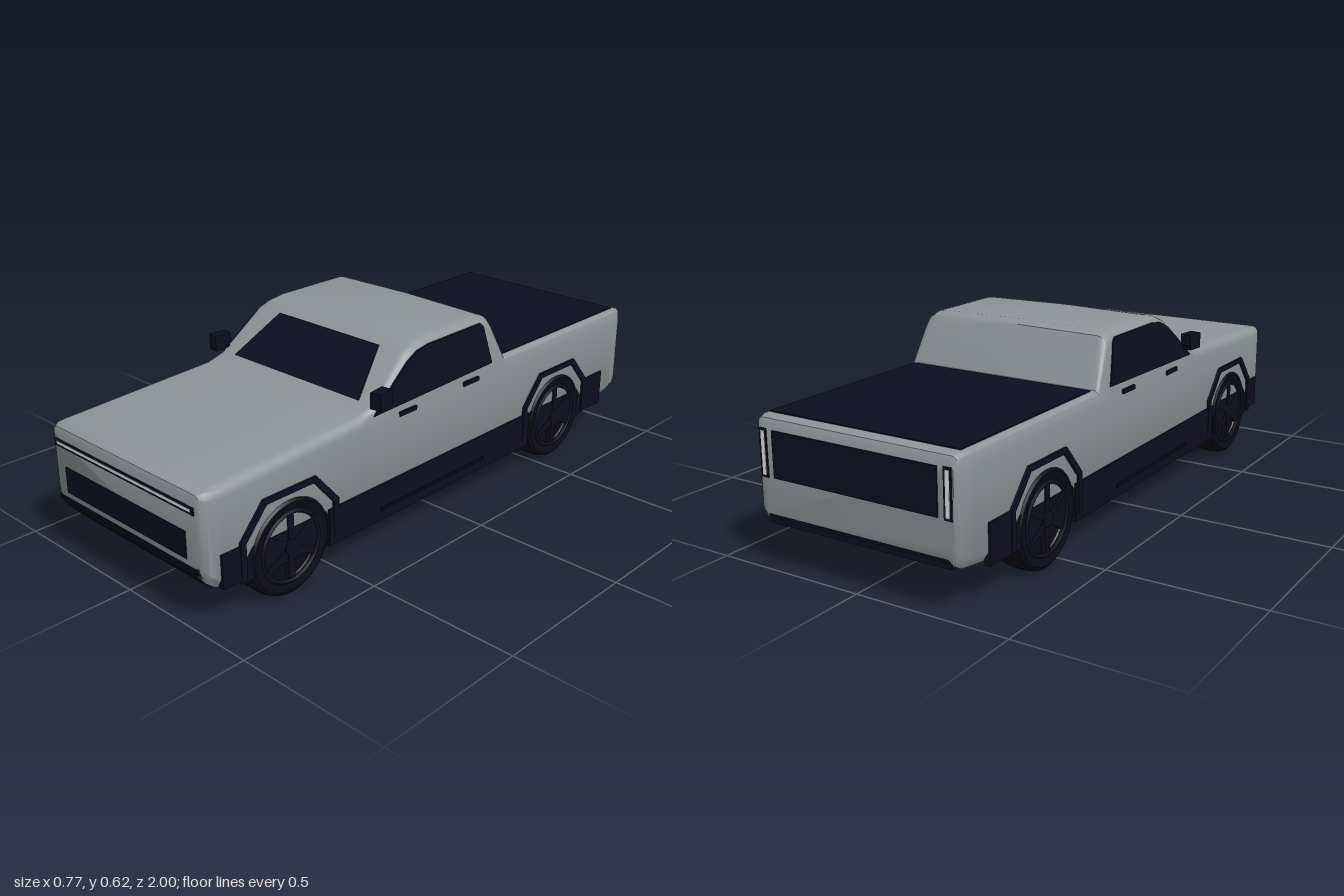
import * as THREE from 'three';
import { toCreasedNormals } from 'three/addons/utils/BufferGeometryUtils.js';

const material = (name, color) => {
  const m = new THREE.MeshStandardMaterial({ color });
  m.name = name;
  return m;
};

// Half width of the body side at height y: upright below the belt, leaning in above it
const sideX = (y, w = 0.354) => w - Math.max(0, y - 0.42) * 0.1;

// Body stations: z, half width, bottom, top, edge radius, crown
const STATIONS = [
  [-0.997, 0.335, 0.175, 0.440, 0.015, 0],
  [-0.988, 0.345, 0.155, 0.455, 0.018, 0],
  [-0.965, 0.352, 0.142, 0.462, 0.020, 0],
  [-0.93, 0.354, 0.137, 0.462, 0.020, 0],
  [-0.75, 0.354, 0.112, 0.462, 0.020, 0],
  [-0.285, 0.354, 0.112, 0.462, 0.020, 0],
  [-0.225, 0.354, 0.112, 0.590, 0.035, 0.002],
  [-0.212, 0.354, 0.112, 0.612, 0.040, 0.003],
  [-0.185, 0.354, 0.112, 0.623, 0.045, 0.005],
  [0.09, 0.354, 0.112, 0.623, 0.045, 0.005],
  [0.14, 0.354, 0.112, 0.614, 0.040, 0.003],
  [0.18, 0.354, 0.112, 0.597, 0.035, 0],
  [0.335, 0.354, 0.112, 0.473, 0.025, 0],
  [0.40, 0.354, 0.112, 0.456, 0.030, 0.003],
  [0.65, 0.354, 0.112, 0.446, 0.035, 0.004],
  [0.90, 0.354, 0.120, 0.434, 0.035, 0.003],
  [0.95, 0.352, 0.130, 0.431, 0.030, 0.002],
  [0.975, 0.347, 0.150, 0.428, 0.025, 0],
  [0.99, 0.338, 0.172, 0.420, 0.020, 0],
  [0.997, 0.325, 0.190, 0.405, 0.015, 0],
];

function bodyGeometry() {
  const ring = ([z, w, yb, yt, r, crown]) => {
    const half = [[w - 0.02, yb], [w, yb + 0.03], [sideX(Math.min(0.42, yt - r), w), Math.min(0.42, yt - r)]];
    const cx = sideX(yt - r, w) - r;
    for (let i = 0; i <= 5; i++) {
      const a = 0.02 + (i / 5) * (Math.PI / 2 - 0.02);
      half.push([cx + r * Math.cos(a), yt - r + r * Math.sin(a)]);
    }
    const mirrored = half.map(([x, y]) => [-x, y]).reverse();
    return [...half, [0, yt + crown], ...mirrored].map(([x, y]) => [x, y, z]);
  };
  const rings = STATIONS.map(ring), n = rings[0].length, last = rings.length - 1;
  const skin = [], floor = [];
  for (let i = 0; i < last; i++) {
    for (let j = 0; j < n; j++) {
      const k = (j + 1) % n, a = i * n + j, b = i * n + k;
      (k === 0 ? floor : skin).push(a, b, b + n, a, b + n, a + n);
    }
  }
  for (let j = 1; j < n - 1; j++) {
    skin.push(0, j + 1, j, last * n, last * n + j, last * n + j + 1);
  }
  const g = new THREE.BufferGeometry();
  g.setAttribute('position', new THREE.Float32BufferAttribute(rings.flat(2), 3));
  g.setIndex([...skin, ...floor]);
  g.addGroup(0, skin.length, 0);
  g.addGroup(skin.length, floor.length, 1);
  return toCreasedNormals(g, 0.6);
}

// Thin plate on the body side, outlined in [z, y]; s is +1 for left, -1 for right
function sidePlate(outline, s, depth, hole) {
  const points = (list) => list.map(([z, y]) => new THREE.Vector2(-s * z, y));
  const shape = new THREE.Shape(points(outline));
  if (hole) shape.holes.push(new THREE.Path(points(hole)));
  const g = new THREE.ExtrudeGeometry(shape, { depth, bevelEnabled: false });
  g.rotateY(s * Math.PI / 2);
  const p = g.attributes.position;
  for (let i = 0; i < p.count; i++) p.setX(i, p.getX(i) + s * (sideX(p.getY(i)) - 0.002));
  g.computeVertexNormals();
  return g;
}

export function createModel() {
  const truck = new THREE.Group();
  truck.name = 'pickupTruck';
  const paint = material('silverPaint', 0x8e9499);
  const dark = material('darkTrim', 0x0d0d21);
  const rubber = material('tyreRubber', 0x0a0a1a);
  const lamp = material('lampWhite', 0xe8eaec);

  const add = (name, geometry, mat, parent = truck) => {
    const m = new THREE.Mesh(geometry, mat);
    m.name = name;
    parent.add(m);
    return m;
  };
  const box = (name, size, pos, mat, parent) => {
    const m = add(name, new THREE.BoxGeometry(...size), mat, parent);
    m.position.set(...pos);
    return m;
  };

  add('body', bodyGeometry(), [paint, dark]);
  box('underpan', [0.716, 0.116, 0.97], [0, 0.153, 0.055], dark);
  box('bedCover', [0.66, 0.005, 0.655], [0, 0.463, -0.6275], dark);

  // Windshield, tilted to the slope of the cab
  const glass = new THREE.ExtrudeGeometry(
    new THREE.Shape([[-0.28, 0.475], [0.28, 0.475], [0.222, 0.595], [-0.222, 0.595]].map((p) => new THREE.Vector2(...p))),
    { depth: 0.006, bevelEnabled: false });
  const gp = glass.attributes.position;
  for (let i = 0; i < gp.count; i++) gp.setZ(i, gp.getZ(i) + 0.331 - (gp.getY(i) - 0.475) * 1.25);
  glass.computeVertexNormals();
  add('windshield', glass, dark);

  // Front end
  box('grille', [0.56, 0.084, 0.006], [0, 0.261, 0.997], dark);
  box('lightBarFrame', [0.644, 0.023, 0.006], [0, 0.375, 0.997], dark);
  box('lightBar', [0.62, 0.009, 0.004], [0, 0.375, 0.999], lamp);
  const bumper = new THREE.BoxGeometry(0.65, 0.085, 0.008, 1, 8, 1);
  const bp = bumper.attributes.position;
  for (let i = 0; i < bp.count; i++) {
    const y = bp.getY(i) + 0.1575;
    bp.setXYZ(i, bp.getX(i) * (y < 0.13 ? 0.95 : 1), y, bp.getZ(i) + 0.997 - Math.max(0, 0.19 - y) * 0.75);
  }
  bumper.computeVertexNormals();
  add('frontBumper', bumper, dark);

  // Tailgate
  box('tailgatePanel', [0.57, 0.14, 0.006], [0, 0.355, -0.997], dark);
  box('rearBumperStrip', [0.64, 0.022, 0.03], [0, 0.155, -0.975], dark);

  const wheelProfile = [
    [0, 0.03], [0.105, 0.03], [0.112, 0.042], [0.14, 0.048], [0.151, 0.04], [0.155, 0.025],
    [0.155, -0.025], [0.151, -0.04], [0.14, -0.048], [0, -0.048],
  ].reverse().map((p) => new THREE.Vector2(...p));
  const wheelGeometry = toCreasedNormals(new THREE.LatheGeometry(wheelProfile, 40), 0.6);

  for (const s of [1, -1]) {
    const side = s > 0 ? 'left' : 'right';

    add(side + 'Window', sidePlate(
      [[0.345, 0.447], [0.25, 0.525], [0.185, 0.573], [0.14, 0.594], [0.09, 0.602], [-0.165, 0.604], [-0.18, 0.59], [-0.215, 0.46]],
      s, 0.006), dark);
    for (const [z, y] of [[0.198, 0.421], [-0.105, 0.428]]) {
      box(side + 'DoorHandle', [0.012, 0.014, 0.075], [s * 0.354, y, z], dark);
    }

    // Mirror and its stem
    const mirror = box(side + 'Mirror', [0.038, 0.052, 0.06], [s * 0.363, 0.5, 0.325], dark);
    mirror.rotation.y = s * 0.15;
    box(side + 'MirrorStem', [0.03, 0.016, 0.03], [s * 0.345, 0.482, 0.305], dark);

    // Tail lamp
    box(side + 'TailLampFrame', [0.026, 0.145, 0.006], [s * 0.318, 0.355, -0.997], dark);
    box(side + 'TailLamp', [0.013, 0.13, 0.004], [s * 0.318, 0.355, -0.999], lamp);

    // Lower cladding
    box(side + 'Rocker', [0.012, 0.12, 0.97], [s * 0.354, 0.156, 0.055], dark);
    box(side + 'SillStep', [0.012, 0.01, 0.5], [s * 0.357, 0.133, 0.07], rubber);
    box(side + 'FrontCladding', [0.02, 0.105, 0.085], [s * 0.35, 0.183, 0.9], dark);
    box(side + 'RearCladding', [0.02, 0.125, 0.115], [s * 0.35, 0.182, -0.817], dark);

    for (const [end, z] of [['Front', 0.69], ['Rear', -0.585]]) {
      // Faceted arch trim
      const arch = (a, b, top, mid, low) => [[-a, low], [-a, mid], [-b, top], [b, top], [a, mid], [a, low]]
        .map(([dz, y]) => [z + dz, y]);
      const outer = arch(0.188, 0.1, 0.345, 0.245, 0.12);
      const inner = arch(0.168, 0.09, 0.327, 0.237, 0.12).reverse();
      add(side + end + 'Arch', sidePlate([...outer, ...inner], s, 0.01), dark);
      add(side + end + 'WheelWell', sidePlate(
        arch(0.17, 0.14, 0.215, 0.18, 0.115), s, 0.004), dark);

      // Wheel with spokes and hub
      const wheel = new THREE.Group();
      wheel.name = side + end + 'Wheel';
      wheel.position.set(s * 0.312, 0.158, z);
      wheel.rotation.z = -s * Math.PI / 2;
      truck.add(wheel);
      add('tyre', wheelGeometry, rubber, wheel);
      for (let i = 0; i < 6; i++) {
        const a = (i / 6) * Math.PI * 2;
        const spoke = box('spoke', [0.085, 0.02, 0.022], [Math.cos(a) * 0.062, 0.036, -Math.sin(a) * 0.062], dark, wheel);
        spoke.rotation.y = a;
      }
      add('hub', new THREE.CylinderGeometry(0.024, 0.028, 0.02, 20), dark, wheel).position.y = 0.038;
      const rim = add('rim', new THREE.TorusGeometry(0.108, 0.007, 6, 40), dark, wheel);
      rim.rotation.x = Math.PI / 2;
      rim.position.y = 0.043;
    }
  }
  return truck;
}
